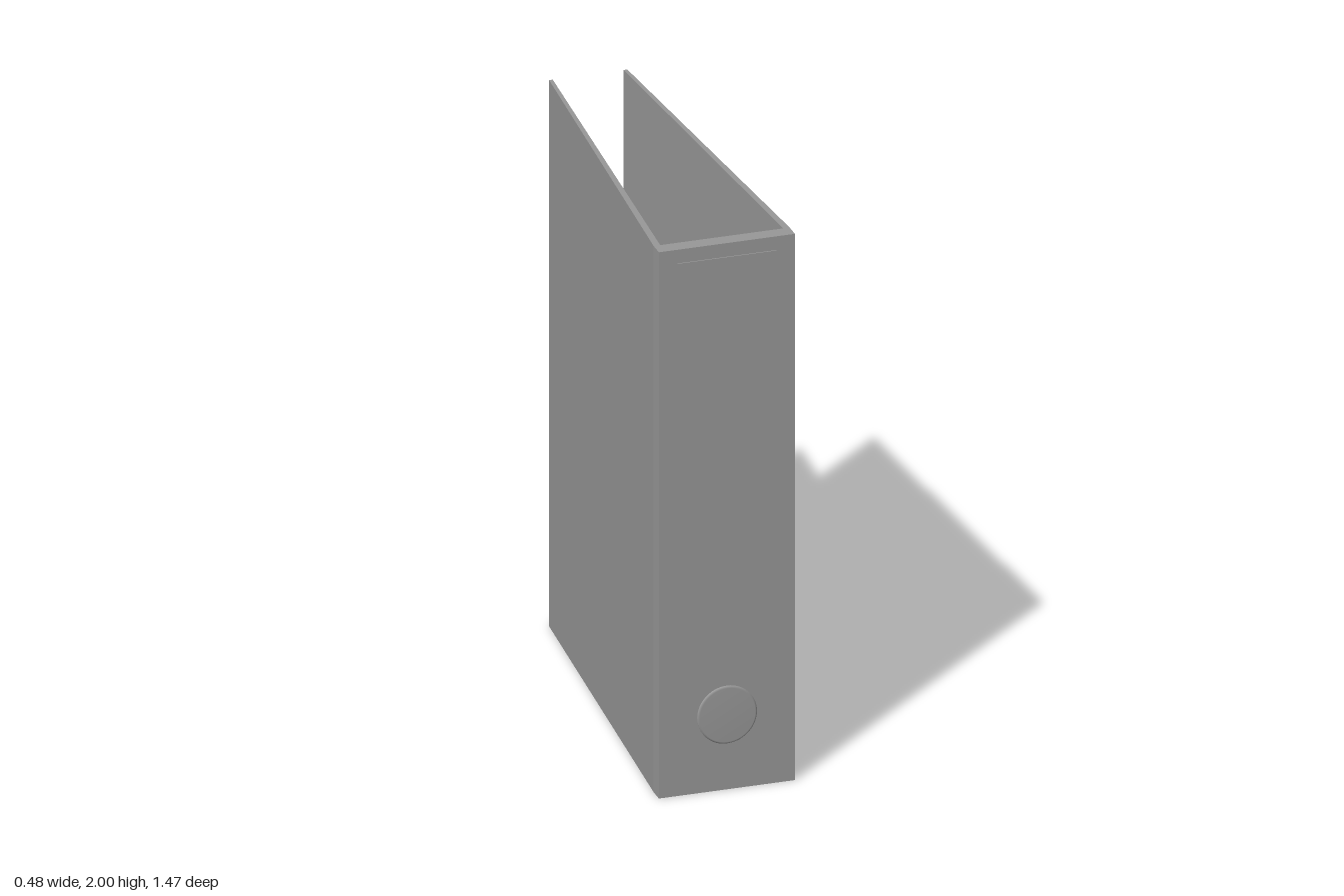
import * as THREE from 'three';

const HEIGHT = 2;
const SPINE_FRONT = 0.727;
const SPINE_BACK = 0.672;
const REAR = -0.735;

// Upright slab from a plan outline of [x, z] points
function slab(name, outline, y0, y1, material) {
  const shape = new THREE.Shape(outline.map(([x, z]) => new THREE.Vector2(x, -z)));
  const geometry = new THREE.ExtrudeGeometry(shape, { depth: y1 - y0, bevelEnabled: false });
  geometry.rotateX(-Math.PI / 2).translate(0, y0, 0);
  const mesh = new THREE.Mesh(geometry, material);
  mesh.name = name;
  return mesh;
}

export function createModel() {
  const board = new THREE.MeshStandardMaterial({ color: 0x999999 });
  board.name = 'grey board';
  const group = new THREE.Group();
  group.name = 'ringBinder';

  // Spine
  group.add(slab('spine', [
    [-0.24, SPINE_FRONT], [0.24, SPINE_FRONT], [0.24, SPINE_BACK], [-0.24, SPINE_BACK],
  ], 0, HEIGHT, board));

  // Covers, leaning towards each other at the open end
  for (const [name, s] of [['leftCover', 1], ['rightCover', -1]]) {
    group.add(slab(name, [
      [s * 0.24, SPINE_BACK], [s * 0.138, REAR], [s * 0.125, REAR], [s * 0.217, SPINE_BACK],
    ], 0, HEIGHT, board));
  }

  // Label plate on the spine
  group.add(slab('spineLabel', [
    [-0.175, SPINE_FRONT + 0.004], [0.175, SPINE_FRONT + 0.004],
    [0.175, SPINE_FRONT], [-0.175, SPINE_FRONT],
  ], 0.52, 1.95, board));

  // Finger pull: shallow disc with a chamfered rim
  const profile = [[0.105, 0], [0.105, 0.004], [0.098, 0.008], [0, 0.008]]
    .map(([r, h]) => new THREE.Vector2(r, h));
  const pull = new THREE.Mesh(
    new THREE.LatheGeometry(profile, 48).rotateX(Math.PI / 2), board);
  pull.name = 'fingerPull';
  pull.position.set(0, 0.275, SPINE_FRONT);
  group.add(pull);

  return group;
}
